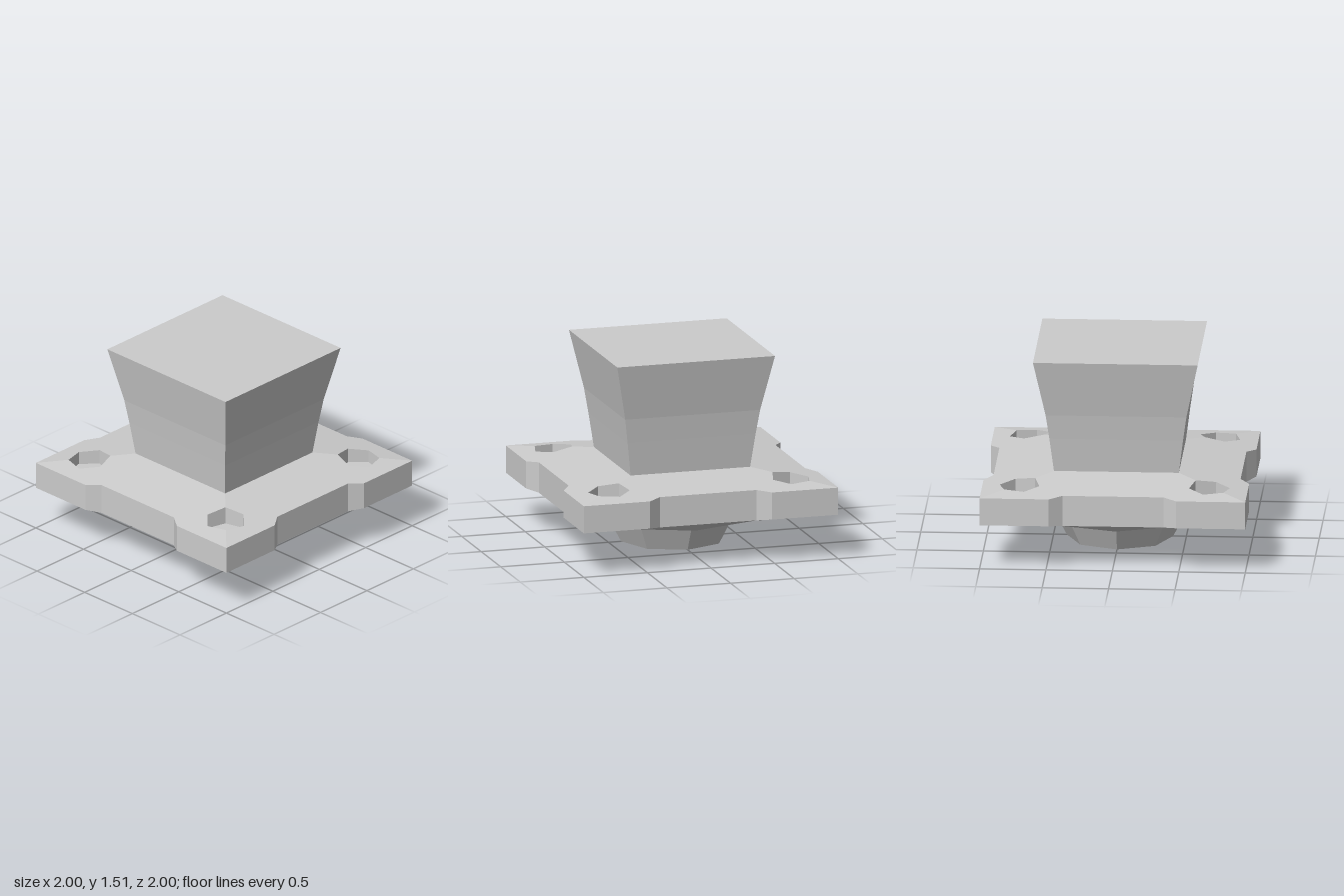
import * as THREE from 'three';

const material = new THREE.MeshStandardMaterial({ color: 0xcccccc, flatShading: true, side: THREE.DoubleSide });

function part(name, geometry) {
  const flat = geometry.index ? geometry.toNonIndexed() : geometry;
  flat.computeVertexNormals();
  const mesh = new THREE.Mesh(flat, material);
  mesh.name = name;
  return mesh;
}

// Faces given as loops of [x, y, z] corners, fanned into triangles
function fromFaces(faces) {
  const pos = [];
  for (const f of faces)
    for (let i = 1; i < f.length - 1; i++) pos.push(...f[0], ...f[i], ...f[i + 1]);
  const g = new THREE.BufferGeometry();
  g.setAttribute('position', new THREE.Float32BufferAttribute(pos, 3));
  return g;
}

const INNER = 0.47, RISE = 0.1415;          // square under the pillar, slope of the deck
const HOLE = 0.715, HOLE_R = 0.157, HOLE_FLOOR = 0.47;
const deckY = (x, d) => 0.55 + (1 - Math.max(Math.abs(x), Math.abs(d))) * RISE;

// One side of the plate, in (x, d) where d = -z
const outline = [[1, 1], [0.48, 1], [0.38, 0.93], [-0.38, 0.93], [-0.48, 1], [-1, 1]];
const s = 0.6 * Math.SQRT1_2;
const ring = [[s, s], [0, 0.6], [-s, s]];

function hexPoint(k) {
  const a = Math.PI / 4 + k * Math.PI / 3;
  return [HOLE + HOLE_R * Math.cos(a), HOLE + HOLE_R * Math.sin(a)];
}

function deckSide() {
  const half = [3, 2, 1, 0].map(hexPoint);   // half of a hole, cut along the ridge
  const mirrored = half.map(([x, d]) => [-x, d]).reverse();
  const pts = [[INNER, INNER], ...half, ...outline, ...mirrored, [-INNER, INNER]];
  const g = new THREE.ShapeGeometry(new THREE.Shape(pts.map(p => new THREE.Vector2(...p))));
  const p = g.attributes.position;
  for (let i = 0; i < p.count; i++) {
    const x = p.getX(i), d = p.getY(i);
    p.setXYZ(i, x, deckY(x, d), -d);
  }
  return g;
}

function rimAndUnderside() {
  const top = outline.map(([x, d]) => [x, deckY(x, d), -d]);
  const low = outline.map(([x, d]) => [x, d < 1 ? 0.325 : 0.34, -d]);
  const r = ring.map(([x, d]) => [x, 0.195, -d]);
  const faces = [[low[2], r[0], r[1]], [low[3], r[1], r[2]]];
  const target = [0, 0, 1, 2, 2];
  for (let i = 0; i < 5; i++) {
    faces.push([low[i], low[i + 1], top[i + 1], top[i]]);
    faces.push([low[i + 1], low[i], r[target[i]]]);
  }
  return fromFaces(faces);
}

function boltHole() {
  const faces = [], floor = [];
  for (let k = 0; k < 6; k++) {
    const [ax, ad] = hexPoint(k), [bx, bd] = hexPoint(k + 1);
    floor.push([ax, HOLE_FLOOR, -ad]);
    faces.push([[bx, HOLE_FLOOR, -bd], [ax, HOLE_FLOOR, -ad], [ax, deckY(ax, ad), -ad], [bx, deckY(bx, bd), -bd]]);
  }
  faces.push(floor);
  return fromFaces(faces);
}

const lathe = (pts, sides) => new THREE.LatheGeometry(pts.map(p => new THREE.Vector2(...p)), sides);

export function createModel() {
  const model = new THREE.Group();
  model.name = 'pedestal';

  // Notched base plate, four equal sides
  const plate = new THREE.Group();
  plate.name = 'basePlate';
  for (let i = 0; i < 4; i++) {
    const side = new THREE.Group();
    side.name = 'plateSide';
    side.add(part('deck', deckSide()), part('rimAndUnderside', rimAndUnderside()), part('boltHole', boltHole()));
    side.rotation.y = i * Math.PI / 2;
    plate.add(side);
  }
  model.add(plate);

  // Flared square pillar
  const profile = [[0.47, 0.625], [0.503, 0.885], [0.53, 1.075], [0.62, 1.507]].map(([r, y]) => [r * Math.SQRT2, y]);
  const pillar = part('pillar', lathe([...profile, [0, 1.507]], 4));
  pillar.rotation.y = Math.PI / 4;
  model.add(pillar);

  // Eight-sided hollow nozzle standing in a recess under the plate
  model.add(part('nozzle', lathe([[0.6, 0.195], [0.6, 0.36], [0.592, 0.36], [0.4, 0], [0.37, 0], [0.24, 0.5], [0, 0.5]], 8)));

  return model;
}
